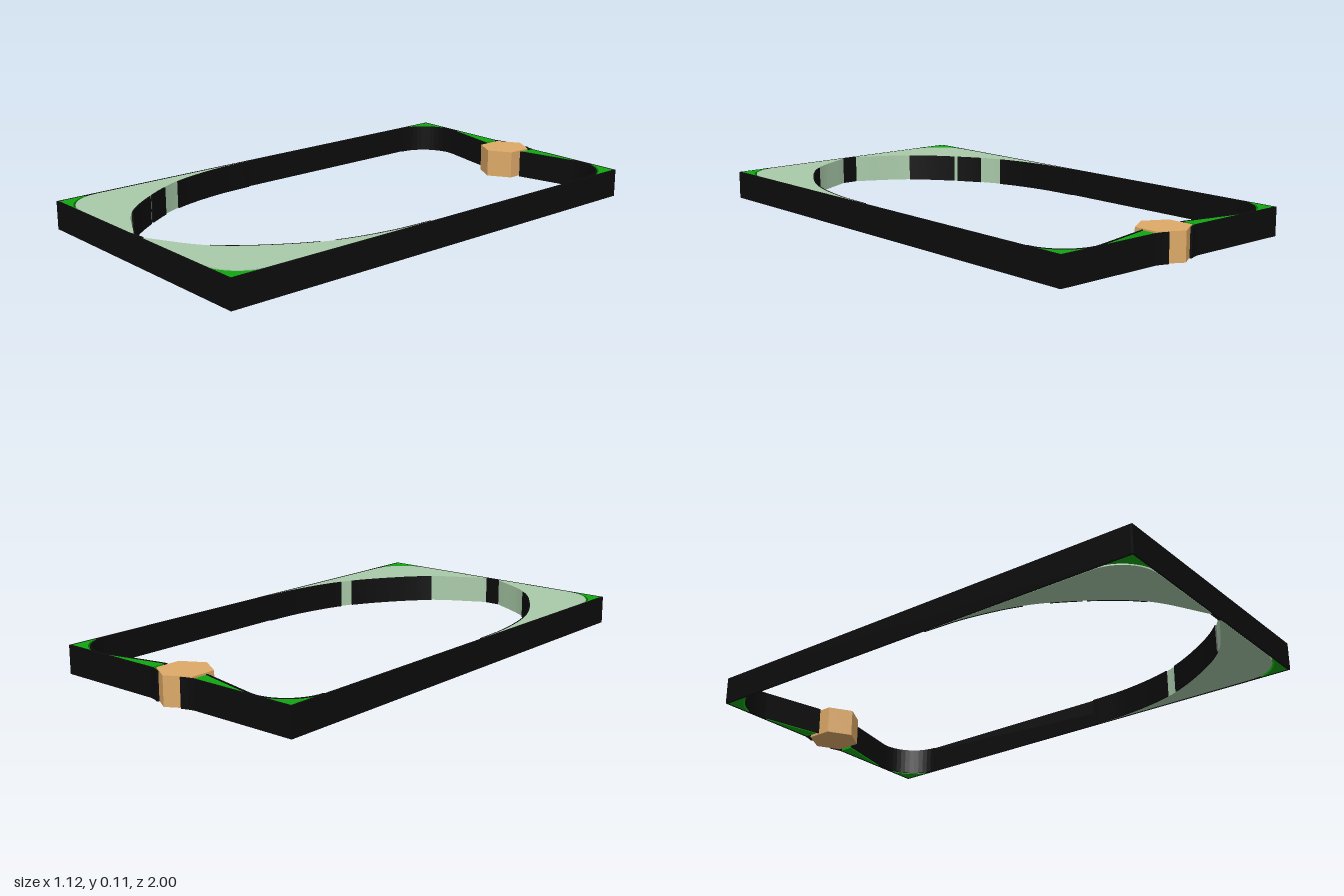
import * as THREE from 'three';

const H = 0.112;   // height of every part
const W = 0.56;    // half width of the frame
const T = 0.008;   // wall thickness
const BACK = -0.96;

const mat = (color) => new THREE.MeshStandardMaterial({ color });
const black = mat(0x0c0c0c), green = mat(0x10a510), pale = mat(0xaacbaa), wood = mat(0xdeaa68);

export function createModel() {
  const model = new THREE.Group();

  // Upright prism from a plan outline of [x, z] points
  const prism = (name, pts, material, h = H) => {
    const shape = new THREE.Shape(pts.map(([x, z]) => new THREE.Vector2(x, -z)));
    const geo = new THREE.ExtrudeGeometry(shape, { depth: h, bevelEnabled: false });
    geo.rotateX(-Math.PI / 2);
    const mesh = new THREE.Mesh(geo, material);
    mesh.name = name;
    model.add(mesh);
  };

  // Thin upright band following a path, thickened to one side
  const band = (name, pts, t = T) => {
    const offset = pts.map(([x, z], i) => {
      const a = pts[Math.max(i - 1, 0)], b = pts[Math.min(i + 1, pts.length - 1)];
      const dx = b[0] - a[0], dz = b[1] - a[1], l = Math.hypot(dx, dz);
      return [x - dz / l * t, z + dx / l * t];
    });
    prism(name, [...pts, ...offset.reverse()], black);
  };

  const box = (name, x0, x1, z0, z1) =>
    prism(name, [[x0, z0], [x1, z0], [x1, z1], [x0, z1]], black);

  // Arc in plan, from the x direction (angle 0) towards z
  const arc = (cx, cz, r, a0, a1, n = 12) => Array.from({ length: n + 1 }, (_, i) => {
    const a = a0 + (a1 - a0) * i / n;
    return [cx + r * Math.cos(a), cz + r * Math.sin(a)];
  });

  // Inner curve of the front insert
  const curve = new THREE.CatmullRomCurve3([
    [0.552, 0.1], [0.541, 0.28], [0.49, 0.5], [0.39, 0.69], [0.25, 0.86], [0.03, 0.988],
  ].map(([x, z]) => new THREE.Vector3(x, 0, z)));
  const inner = (u0, u1, n) => Array.from({ length: n + 1 }, (_, i) => {
    const p = curve.getPoint(u0 + (u1 - u0) * i / n);
    return [p.x, p.z];
  });

  box('frontWall', -W, W, 1 - T, 1);

  for (const s of [-1, 1]) {
    const flip = (pts) => pts.map(([x, z]) => [s * x, z]);

    // Outer walls, the back one ending beside the post
    box('sideWall', s * W, s * (W - T), BACK, 1);
    box('backWall', s * W, s * 0.1, BACK, BACK + T);
    band('backWallTip', flip([[0.11, BACK], [0.085, -0.966], [0.06, -0.976]]), s * -T);

    // Pale front insert with a curved inside and a rounded corner
    prism('frontInsert', flip([
      ...inner(0, 1, 40), [0.03, 0.991], [0.39, 0.991],
      ...arc(0.39, 0.831, 0.16, Math.PI / 2, 0),
    ]), pale);

    // Dark lining on the curve, broken by gaps
    const runs = s > 0 ? [[0, 0.4], [0.45, 0.8]] : [[0, 0.4], [0.49, 0.595], [0.61, 0.8]];
    for (const [u0, u1] of runs) band('insertLining', flip(inner(u0, u1, 16)), s * 0.006);

    // Green corner blocks
    const cornerBlock = (name, cz, sz, r) => {
      const a = Math.acos(0.162 / r);
      const pts = arc(0.39, 0, r, a, Math.PI / 2 - a);
      prism(name, flip([[0.552, 0.162], ...pts].map(([x, z]) => [x, cz + sz * z])), green);
    };
    cornerBlock('frontCorner', 0.83, 1, 0.169);
    cornerBlock('backCorner', -0.79, -1, 0.17);

    // Dark lining at the back: rounded corner, then a slope to the post
    band('backLining', flip([
      ...arc(0.39, -0.79, 0.163, 0, -Math.PI / 2), [0.36, -0.949], [0.1, -0.892],
    ]), s * -0.006);

    // Green wedge beside the post
    prism('backWedge', flip([[0.345, -0.952], [0.107, -0.952], [0.107, -0.899]]), green);
  }

  // Small dark patch where the two insert halves meet
  box('frontLining', -0.045, 0.03, 0.984, 0.993);

  // Six-sided post at the back
  prism('post', Array.from({ length: 6 }, (_, i) => {
    const a = i * Math.PI / 3;
    return [0.104 * Math.sin(a), -0.896 + 0.104 * Math.cos(a)];
  }), wood, H + 0.001);

  return model;
}
